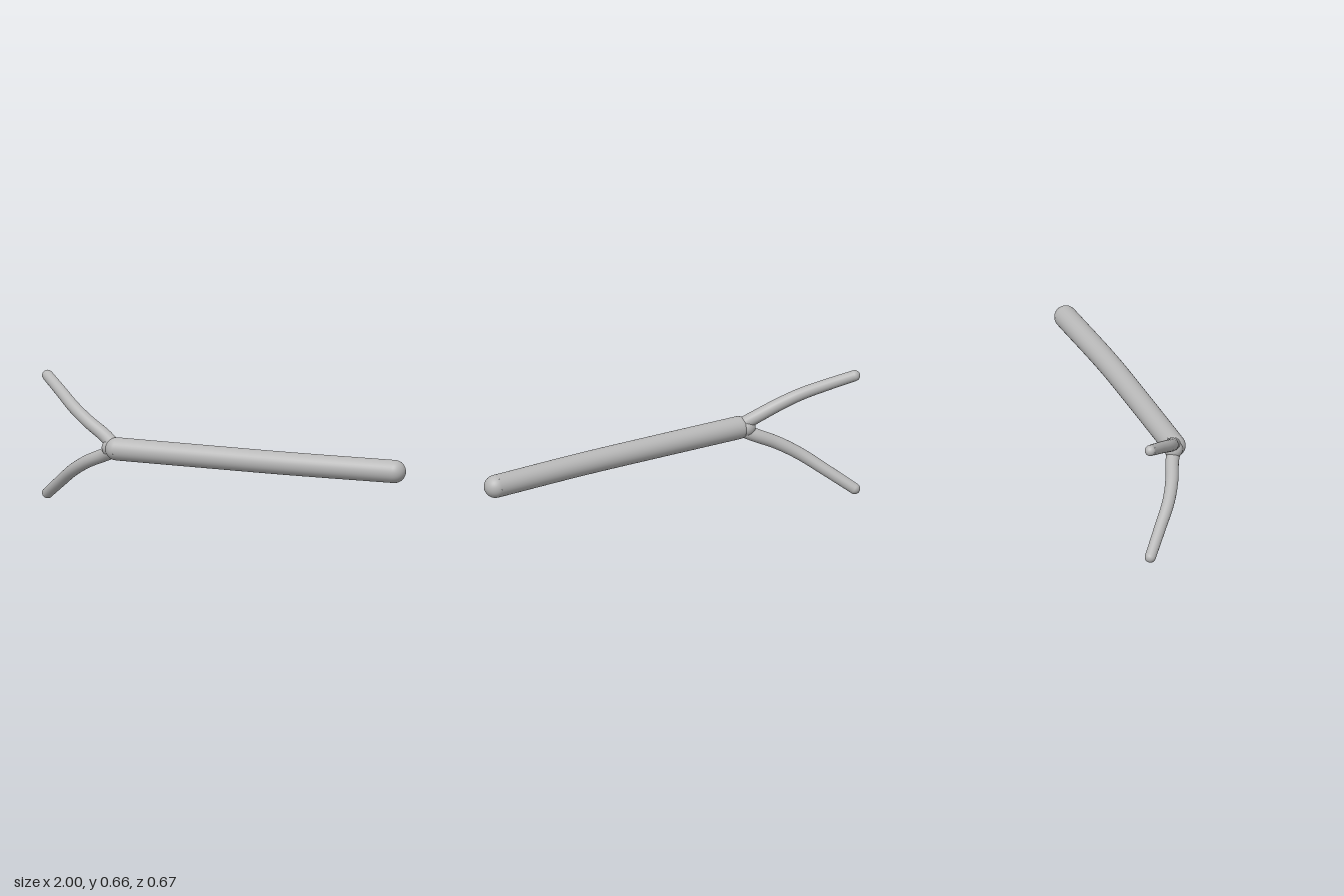
import * as THREE from 'three';
import { mergeGeometries } from 'three/addons/utils/BufferGeometryUtils.js';

const V = (x, y, z) => new THREE.Vector3(x, y, z);

// Round rod along a curve, tapering from r0 to r1, closed by hemispheres
function rod(points, r0, r1, segments, sides) {
  const curve = new THREE.CatmullRomCurve3(points.map((p) => V(...p)));
  const tube = new THREE.TubeGeometry(curve, segments, r0, sides);
  const pos = tube.attributes.position;
  const v = V(0, 0, 0);
  for (let i = 0; i <= segments; i++) {
    const centre = curve.getPointAt(i / segments);
    const scale = THREE.MathUtils.lerp(1, r1 / r0, i / segments);
    for (let j = 0; j <= sides; j++) {
      const k = i * (sides + 1) + j;
      v.fromBufferAttribute(pos, k).sub(centre).multiplyScalar(scale).add(centre);
      pos.setXYZ(k, v.x, v.y, v.z);
    }
  }
  const cap = (t, r, sign) => {
    const g = new THREE.SphereGeometry(r, sides, 10, 0, Math.PI * 2, 0, Math.PI / 2);
    const dir = curve.getTangentAt(t).multiplyScalar(sign);
    g.applyQuaternion(new THREE.Quaternion().setFromUnitVectors(V(0, 1, 0), dir));
    const c = curve.getPointAt(t);
    return g.translate(c.x, c.y, c.z);
  };
  return mergeGeometries([tube, cap(0, r0, -1), cap(1, r1, 1)]);
}

export function createModel() {
  const group = new THREE.Group();
  const grey = new THREE.MeshStandardMaterial({ color: 0xb8b8b8 });
  grey.name = 'grey';
  const add = (name, geometry) => {
    const mesh = new THREE.Mesh(geometry, grey);
    mesh.name = name;
    group.add(mesh);
    return mesh;
  };

  // Thick, gently bowed stem
  add('stem', rod([
    [-0.53, 0.36, 0.078], [0, 0.36, 0.16], [0.4, 0.36, 0.218], [0.942, 0.36, 0.275],
  ], 0.058, 0.058, 40, 32));

  // Rounded web in the fork
  add('forkJoint', new THREE.SphereGeometry(0.047, 24, 16)).position.set(-0.565, 0.36, 0.055);

  // Two thin prongs, one bending up and one down
  add('upperProng', rod([
    [-0.54, 0.37, 0.075], [-0.6, 0.412, 0.028], [-0.7, 0.468, -0.03],
    [-0.79, 0.522, -0.1], [-0.88, 0.578, -0.2], [-0.972, 0.632, -0.305],
  ], 0.035, 0.028, 32, 20));
  add('lowerProng', rod([
    [-0.54, 0.35, 0.075], [-0.6, 0.317, 0.028], [-0.7, 0.266, -0.03],
    [-0.79, 0.203, -0.1], [-0.88, 0.118, -0.2], [-0.972, 0.028, -0.305],
  ], 0.035, 0.028, 32, 20));

  return group;
}
